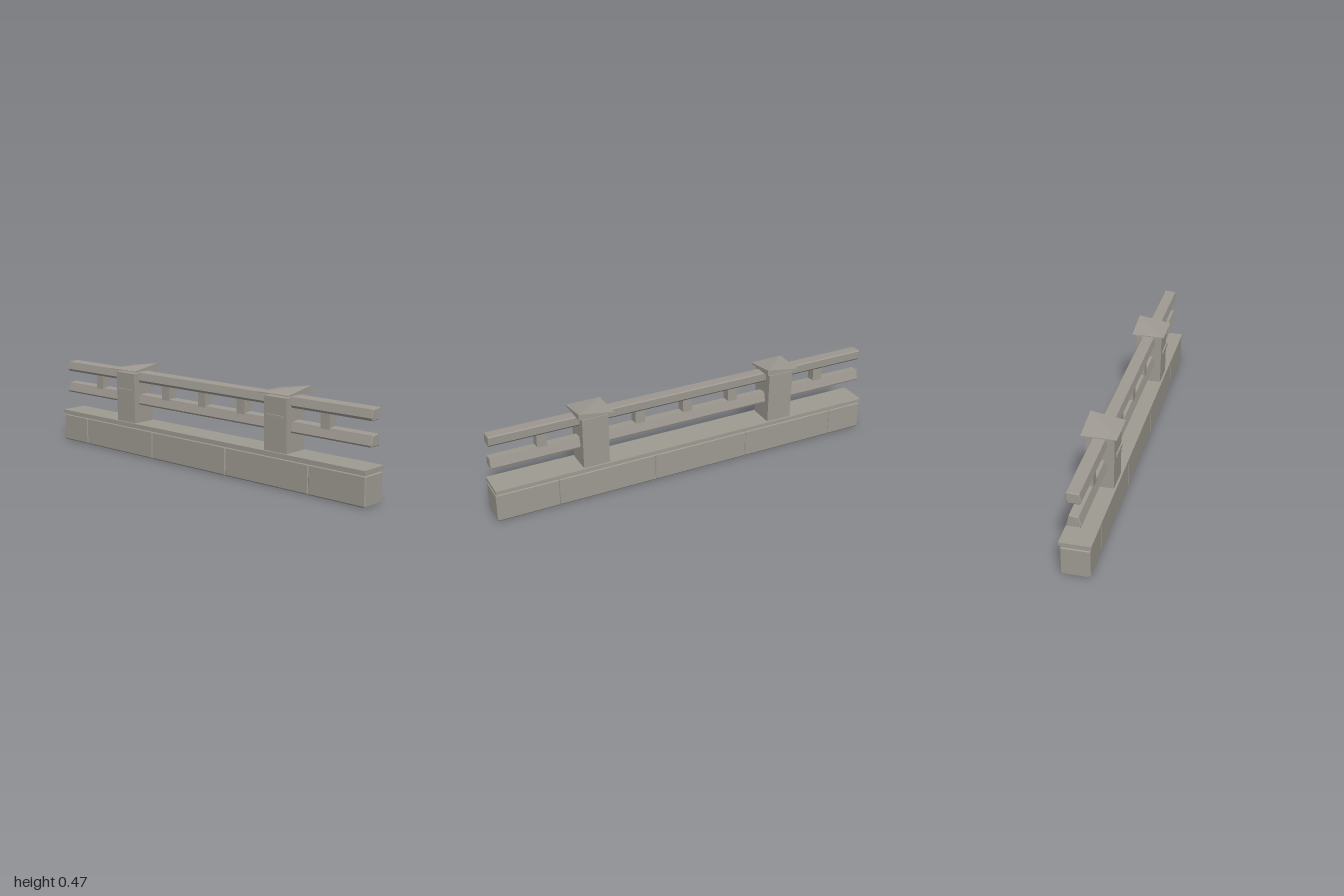
import * as THREE from 'three';

const stone = new THREE.MeshStandardMaterial({ color: 0x9e9a92, side: THREE.DoubleSide });
stone.name = 'grey stone';

// Joins rings of [z, y] points placed along x; rings run anticlockwise seen from +x
function loft(rings, closed = true) {
  const pos = [];
  const tri = (...pts) => pts.forEach(p => pos.push(...p));
  const pts = rings.map(r => r.ring.map(([z, y]) => [r.x, y, z]));
  const n = pts[0].length;
  for (let k = 0; k < pts.length - 1; k++) {
    for (let i = 0; i < (closed ? n : n - 1); i++) {
      const j = (i + 1) % n;
      const a = pts[k][i], b = pts[k][j], c = pts[k + 1][j], d = pts[k + 1][i];
      tri(a, b, c);
      tri(a, c, d);
    }
  }
  const first = pts[0], last = pts[pts.length - 1];
  for (let i = 1; i < n - 1; i++) {
    tri(first[0], first[i + 1], first[i]);
    tri(last[0], last[i], last[i + 1]);
  }
  const geo = new THREE.BufferGeometry();
  geo.setAttribute('position', new THREE.Float32BufferAttribute(pos, 3));
  geo.computeVertexNormals();
  return geo;
}

// Ring shrunk towards its own centre by a fixed distance
function inset(ring, d) {
  const zs = ring.map(p => p[0]), ys = ring.map(p => p[1]);
  const zc = (Math.min(...zs) + Math.max(...zs)) / 2;
  const yc = (Math.min(...ys) + Math.max(...ys)) / 2;
  return ring.map(([z, y]) => [z - Math.sign(z - zc) * d, y - Math.sign(y - yc) * d]);
}

// Bar with bevelled ends
function bar(ring, x0, x1, bevel, closed = true) {
  return loft([
    { x: x0, ring: inset(ring, bevel) },
    { x: x0 + bevel, ring },
    { x: x1 - bevel, ring },
    { x: x1, ring: inset(ring, bevel) },
  ], closed);
}

export function createModel() {
  const group = new THREE.Group();
  const add = (name, geo, x = 0, y = 0, z = 0, parent = group) => {
    const mesh = new THREE.Mesh(geo, stone);
    mesh.name = name;
    mesh.position.set(x, y, z);
    parent.add(mesh);
    return mesh;
  };

  // Hollow base blocks, open underneath
  const blockRing = [[-0.063, 0], [-0.067, 0.006], [-0.067, 0.137], [-0.064, 0.141],
    [0.064, 0.141], [0.067, 0.137], [0.067, 0.006], [0.063, 0]];
  const joints = [-1, -0.81, -0.31, 0.19, 0.69, 1];
  for (let i = 0; i < joints.length - 1; i++) {
    add('baseBlock', bar(blockRing, joints[i], joints[i + 1], 0.004, false));
  }

  // Ledge on a recessed neck
  add('ledgeNeck', new THREE.BoxGeometry(1.99, 0.014, 0.124), 0, 0.145, 0);
  add('ledge', new THREE.BoxGeometry(2, 0.016, 0.146), 0, 0.159, 0);

  // Rails
  const upperRing = [[-0.022, 0.378], [-0.031, 0.388], [-0.033, 0.427], [-0.029, 0.432],
    [0.027, 0.428], [0.035, 0.39], [0.027, 0.378]];
  const lowerRing = [[-0.03, 0.262], [-0.033, 0.27], [-0.021, 0.317],
    [0.021, 0.313], [0.034, 0.27], [0.03, 0.262]];
  add('upperRail', bar(upperRing, -1, 1, 0.003));
  add('lowerRail', bar(lowerRing, -1, 1, 0.003));

  // Short balusters between the rails
  for (const x of [-0.75, -0.253, -0.003, 0.25, 0.747]) {
    add('baluster', new THREE.BoxGeometry(0.05, 0.08, 0.046), x, 0.346, 0.001);
  }

  // Post: tapers towards the foot, open underneath
  const postGeo = new THREE.BoxGeometry(0.132, 0.42, 0.134);
  const p = postGeo.attributes.position;
  for (let i = 0; i < p.count; i++) {
    if (p.getY(i) < 0) p.setZ(i, p.getZ(i) * 0.89);
  }
  postGeo.setIndex(Array.from(postGeo.index.array).filter((v, i) => i < 18 || i >= 24));
  postGeo.clearGroups();
  postGeo.computeVertexNormals();

  // Cap slab with its back +x corner lifted
  const w = 0.087, d = 0.083, lo = 0.438, thin = 0.442, high = 0.469;
  const A = [-w, thin, d], B = [w, thin, d], C = [w, high, -d], D = [-w, thin, -d];
  const [a, b, c, e] = [A, B, C, D].map(([x, , z]) => [x, lo, z]);
  const capGeo = new THREE.BufferGeometry();
  capGeo.setAttribute('position', new THREE.Float32BufferAttribute([
    A, B, C, A, C, D, a, c, b, a, e, c,
    a, b, B, a, B, A, b, c, C, b, C, B,
    c, e, D, c, D, C, e, a, A, e, A, D,
  ].flat(), 3));
  capGeo.computeVertexNormals();

  for (const x of [-0.503, 0.497]) {
    const post = new THREE.Group();
    post.name = 'post';
    post.position.x = x;
    group.add(post);
    add('postShaft', postGeo, 0, 0.215, 0, post);
    add('postCap', capGeo, 0, 0, 0, post);
    add('postBand', new THREE.BoxGeometry(0.1, 0.015, 0.007), 0, 0.335, 0.072, post);
  }
  return group;
}
